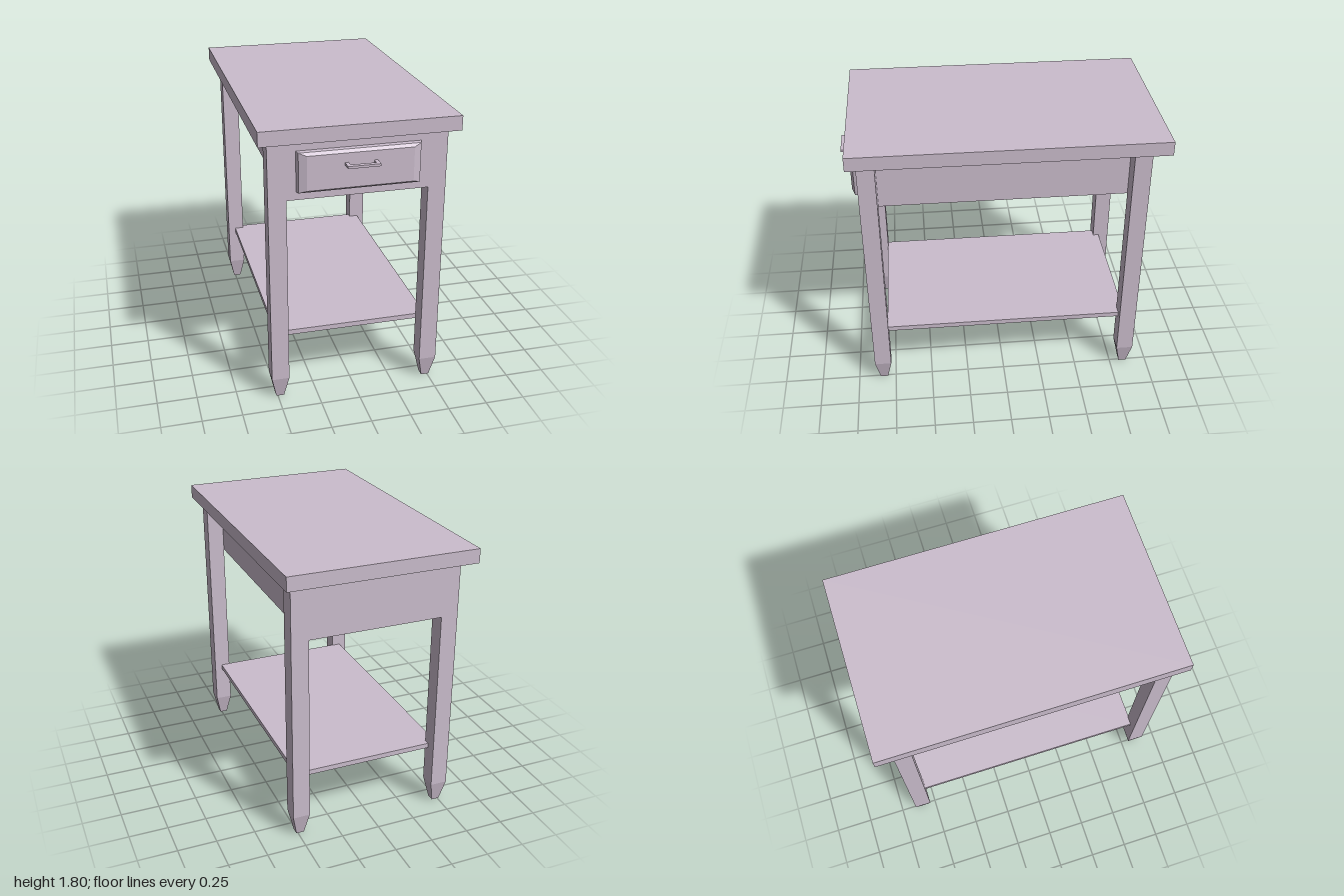
import * as THREE from 'three';

export function createModel() {
  const group = new THREE.Group();
  const paint = new THREE.MeshStandardMaterial({ color: 0xcbbdcd });
  paint.name = 'pale mauve paint';

  const add = (name, geometry, parent = group) => {
    const mesh = new THREE.Mesh(geometry, paint);
    mesh.name = name;
    parent.add(mesh);
    return mesh;
  };

  // Box given by its limits on each axis
  const box = (x0, x1, y0, y1, z0, z1) =>
    new THREE.BoxGeometry(x1 - x0, y1 - y0, z1 - z0)
      .translate((x0 + x1) / 2, (y0 + y1) / 2, (z0 + z1) / 2);

  // Straight-sided taper along z between two rectangles {z, x, y0, y1}
  const taper = (back, front) => {
    const g = new THREE.BoxGeometry(2, 1, 1);
    const p = g.attributes.position;
    for (let i = 0; i < p.count; i++) {
      const r = p.getZ(i) > 0 ? front : back;
      p.setXYZ(i, p.getX(i) * r.x, p.getY(i) > 0 ? r.y1 : r.y0, r.z);
    }
    g.computeVertexNormals();
    return g;
  };

  // Table top, drawer case and lower shelf
  add('tableTop', box(-0.6, 0.6, 1.71, 1.8, -1, 0.945));
  add('drawerCase', box(-0.43, 0.43, 1.35, 1.7, -0.895, 0.885));
  add('lowerShelf', box(-0.49, 0.49, 0.39, 0.423, -0.825, 0.78));

  // Square legs with tapered feet
  const half = 0.055, footTop = 0.142;
  const footGeometry = new THREE.BoxGeometry(1, footTop, 1).translate(0, footTop / 2, 0);
  const fp = footGeometry.attributes.position;
  for (let i = 0; i < fp.count; i++) {
    const w = fp.getY(i) > 0.01 ? 2 * half : 0.05;
    fp.setXYZ(i, fp.getX(i) * w, fp.getY(i), fp.getZ(i) * w);
  }
  footGeometry.computeVertexNormals();
  const postGeometry = box(-half, half, footTop, 1.71, -half, half);
  for (const [end, z] of [['front', 0.83], ['back', -0.84]]) {
    for (const [side, x] of [['Left', 0.485], ['Right', -0.485]]) {
      const leg = new THREE.Group();
      leg.name = `${end}${side}Leg`;
      leg.position.set(x, 0, z);
      add('legPost', postGeometry, leg);
      add('legFoot', footGeometry, leg);
      group.add(leg);
    }
  }

  // Drawer front with a two-step bevel
  const drawer = new THREE.Group();
  drawer.name = 'drawer';
  group.add(drawer);
  const steps = [
    { z: 0.88, x: 0.375, y0: 1.4, y1: 1.65 },
    { z: 0.915, x: 0.365, y0: 1.403, y1: 1.647 },
    { z: 0.933, x: 0.32, y0: 1.418, y1: 1.63 },
  ];
  add('drawerPanel', taper(steps[0], steps[1]), drawer);
  add('drawerBevel', taper(steps[1], steps[2]), drawer);

  // Flat U-shaped pull
  const pull = new THREE.Group();
  pull.name = 'drawerPull';
  drawer.add(pull);
  add('pullBar', box(-0.098, 0.098, 1.558, 1.573, 0.973, 1), pull);
  for (const s of [-1, 1]) {
    add('pullArm', box(-0.011, 0.011, 1.558, 1.573, 0.93, 0.973), pull).position.x = s * 0.087;
  }

  return group;
}
